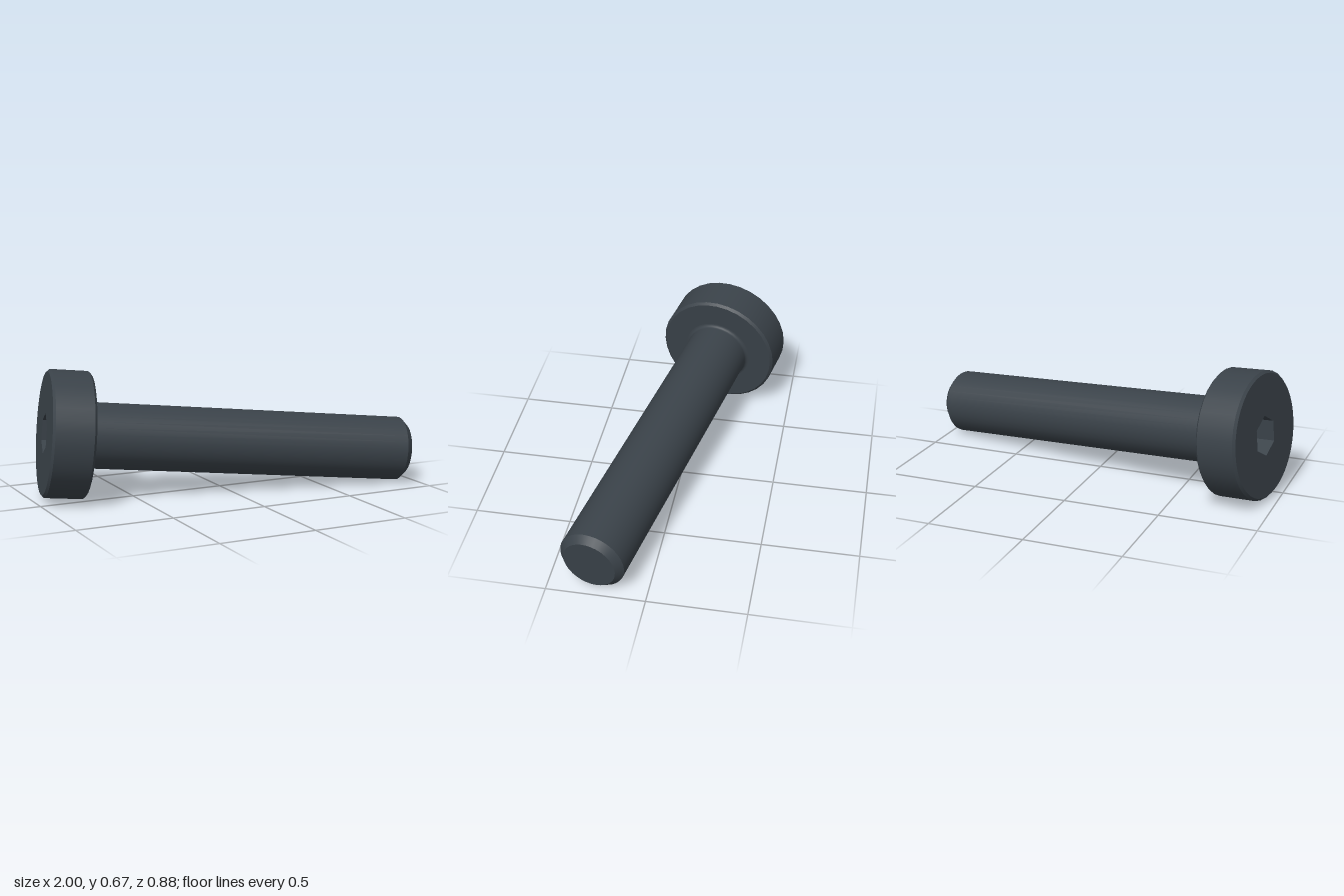
import * as THREE from 'three';

const SIDES = 32;

export function createModel() {
  const model = new THREE.Group();
  model.name = 'screw';

  const steel = new THREE.MeshStandardMaterial({ color: 0x3a4249 });
  steel.name = 'dark steel';

  // The screw is built along its own y axis, from the head's outer face to the tip.
  const screw = new THREE.Group();
  screw.name = 'screwBody';
  model.add(screw);

  const add = (name, geometry) => {
    const mesh = new THREE.Mesh(geometry, steel);
    mesh.name = name;
    screw.add(mesh);
  };
  // Each band turns one profile, so edges between bands stay sharp.
  const band = (name, points, sides = SIDES) =>
    add(name, new THREE.LatheGeometry(points.map(([r, y]) => new THREE.Vector2(r, y)), sides));

  const headR = 0.327, headFaceR = 0.314, headLen = 0.217, edge = 0.012;
  const shaftR = 0.17, tipR = 0.137, length = 1.949, tipLen = 0.035, fillet = 0.018;
  const socketR = 0.104, socketDepth = 0.135;

  // Head
  band('headTopChamfer', [[headFaceR, 0], [headR, edge]]);
  band('headSide', [[headR, edge], [headR, headLen - edge]]);
  band('headBottomChamfer', [[headR, headLen - edge], [headFaceR, headLen]]);
  band('headUnderside', [[headFaceR, headLen], [shaftR + fillet, headLen]]);

  // Rounded neck running into the shaft
  const neck = [];
  for (let i = 0; i <= 5; i++) {
    const a = (i / 5) * Math.PI / 2;
    neck.push([shaftR + fillet * (1 - Math.sin(a)), headLen + fillet * (1 - Math.cos(a))]);
  }
  neck.push([shaftR, length - tipLen]);
  band('shaft', neck);

  // Tip
  band('tipChamfer', [[shaftR, length - tipLen], [tipR, length]]);
  band('tipFace', [[tipR, length], [0, length]]);

  // Head face with a hexagonal opening
  const face = new THREE.Shape().absarc(0, 0, headFaceR, 0, Math.PI * 2, false);
  const hex = [];
  for (let i = 0; i < 6; i++) {
    const a = Math.PI / 6 + i * Math.PI / 3;
    hex.push(new THREE.Vector2(socketR * Math.cos(a), socketR * Math.sin(a)));
  }
  face.holes.push(new THREE.Path(hex));
  add('headFace', new THREE.ShapeGeometry(face, SIDES).rotateX(Math.PI / 2));

  // Hexagonal socket, facing inward
  const socket = new THREE.LatheGeometry([
    new THREE.Vector2(0, socketDepth),
    new THREE.Vector2(socketR, socketDepth),
    new THREE.Vector2(socketR, 0),
  ], 6).toNonIndexed();
  socket.computeVertexNormals();
  add('hexSocket', socket);

  // Tilt the screw so that it rests on the head rim and the tip
  const axis = new THREE.Vector3(0.9735, -0.0915, 0.2093).normalize();
  const side = new THREE.Vector3(-axis.z, 0, axis.x).normalize();
  const up = new THREE.Vector3().crossVectors(side, axis);
  screw.quaternion.setFromRotationMatrix(new THREE.Matrix4().makeBasis(side, axis, up));
  screw.position.set(-0.928, 0.346, -0.127);

  return model;
}
